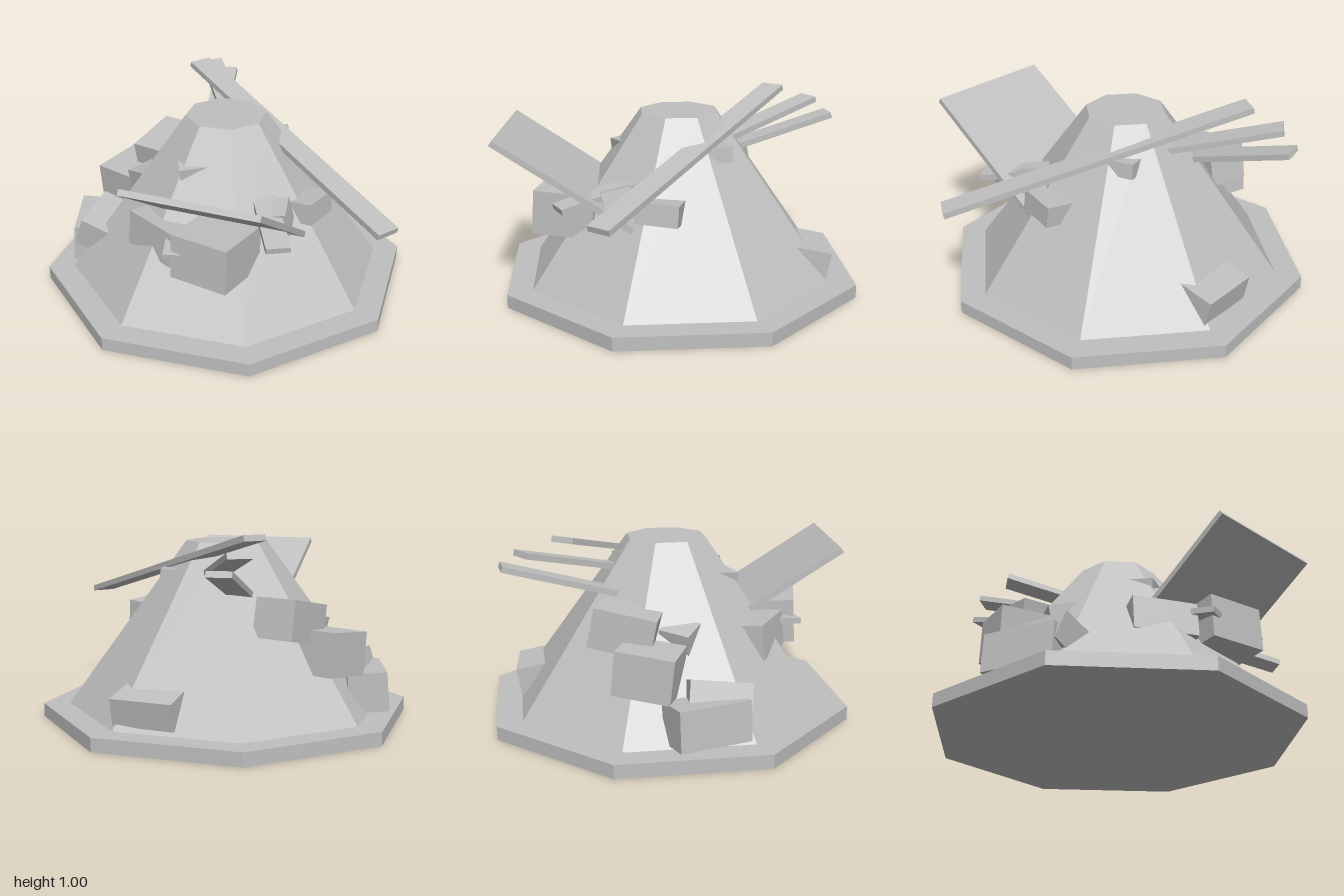
import * as THREE from 'three';

export function createModel() {
  const group = new THREE.Group();
  const stone = new THREE.MeshStandardMaterial({ color: 0xbfbfbf, flatShading: true });
  stone.name = 'grey stone';

  function add(name, geometry) {
    const mesh = new THREE.Mesh(geometry, stone);
    mesh.name = name;
    group.add(mesh);
    return mesh;
  }

  // Block placed by centre, size and yaw / pitch / roll
  function block(name, pos, size, yaw = 0, pitch = 0, roll = 0) {
    const mesh = add(name, new THREE.BoxGeometry(...size));
    mesh.position.set(...pos);
    mesh.rotation.set(pitch, yaw, roll, 'YXZ');
  }

  // Board running from its free end to its buried end, level across its width
  function board(name, from, to, width, thick) {
    const p = new THREE.Vector3(...from), q = new THREE.Vector3(...to);
    const along = q.clone().sub(p);
    const mesh = add(name, new THREE.BoxGeometry(along.length(), thick, width));
    along.normalize();
    const side = along.clone().cross(new THREE.Vector3(0, 1, 0)).normalize();
    const up = side.clone().cross(along);
    mesh.quaternion.setFromRotationMatrix(new THREE.Matrix4().makeBasis(along, up, side));
    mesh.position.copy(p).add(q).multiplyScalar(0.5);
  }

  // Eight-sided slab and truncated mound
  const base = add('baseSlab', new THREE.CylinderGeometry(0.97, 0.97, 0.07, 8));
  base.position.set(-0.03, 0.035, 0);
  const mound = add('mound', new THREE.CylinderGeometry(0.21, 0.84, 0.87, 8));
  mound.position.set(-0.03, 0.495, 0);

  // Large slab and planks sticking out of the mound
  board('largePanel', [0.395, 0.875, 0.8], [0.195, 0.435, 0.155], 0.68, 0.03);
  board('longPlank', [-0.53, 0.985, -0.385], [0.975, 0.595, 0.04], 0.125, 0.03);
  board('upperPlank', [-0.6, 0.92, -0.575], [-0.13, 0.775, -0.21], 0.12, 0.03);
  board('lowerPlank', [-0.575, 0.845, -0.69], [-0.285, 0.68, -0.185], 0.12, 0.03);
  board('sidePlank', [0.61, 0.54, 0.41], [0.3, 0.62, 0.12], 0.12, 0.03);
  board('frontPlank', [0.18, 0.465, 0.67], [0.04, 0.5, 0.46], 0.1, 0.03);

  // Blocks down the right flank
  block('upperBlock', [-0.51, 0.56, -0.08], [0.22, 0.2, 0.31], 0.1, 0.19);
  block('middleBlock', [-0.635, 0.4, 0.07], [0.25, 0.22, 0.29], 0, 0.1);
  block('lowerBlock', [-0.67, 0.185, 0.36], [0.2, 0.2, 0.37], 0.67, 0, -0.08);
  block('tiltedBlock', [-0.57, 0.265, 0.39], [0.18, 0.16, 0.3], 0.35, 0.1, -0.35);
  block('flankChip', [-0.43, 0.51, 0.17], [0.14, 0.12, 0.16], -0.2, 0.1, 0.25);

  // Blocks at the front
  block('frontBlock', [-0.04, 0.43, 0.48], [0.33, 0.18, 0.2], -0.17, -0.1);
  block('shelteredBlock', [0.29, 0.45, 0.48], [0.31, 0.23, 0.32], 0.12, -0.05);
  block('topChip', [-0.02, 0.72, 0.28], [0.14, 0.09, 0.14], 0.8, 0.1, 0.1);

  // Blocks at the left side and back
  block('sideBlock', [0.42, 0.525, -0.06], [0.22, 0.11, 0.22], 0.1, -0.05, 0.1);
  block('sideChip', [0.42, 0.55, 0.17], [0.14, 0.13, 0.15], 0.5, 0.2, 0.2);
  block('backChip', [0.11, 0.75, -0.25], [0.13, 0.08, 0.13], 0.6, 0, 0.1);
  block('backBlock', [-0.13, 0.185, -0.66], [0.32, 0.14, 0.25], 0.32, -0.2);

  return group;
}
